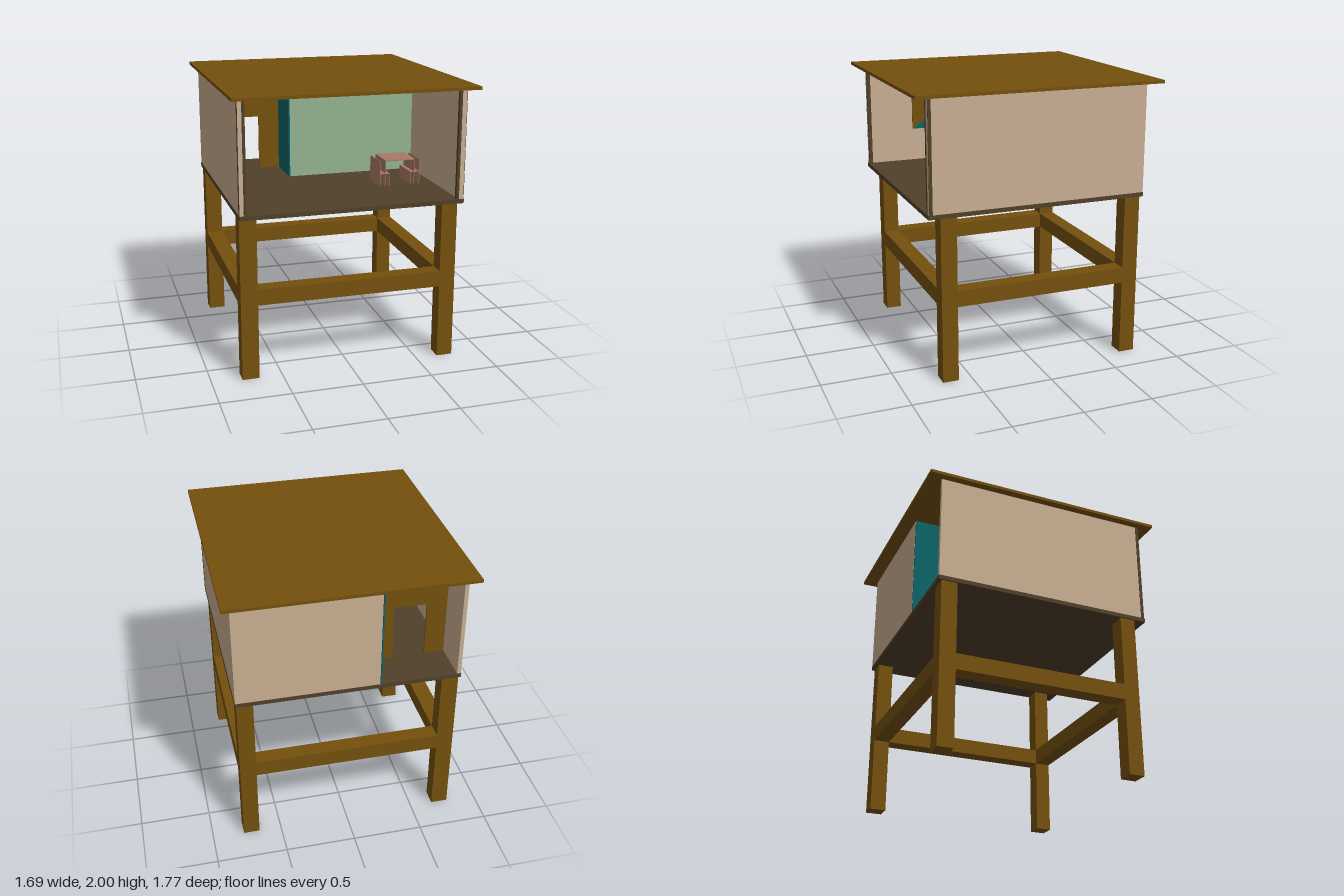
import * as THREE from 'three';

const mat = (name, color, extra = {}) => {
  const m = new THREE.MeshStandardMaterial({ color, ...extra });
  m.name = name;
  return m;
};

export function createModel() {
  const model = new THREE.Group();
  model.name = 'stiltHouse';
  const wood = mat('wood', 0x74500d);
  const beige = mat('beigeWall', 0xc9ae92);
  const dark = mat('darkTimber', 0x50402a);
  const green = mat('greenWall', 0x92b38f);
  const teal = mat('tealWall', 0x0c6468);
  const rose = mat('roseFabric', 0xa87a66);

  // Box given by its extents on each axis
  function box(name, material, [x0, x1], [y0, y1], [z0, z1], parent = model) {
    const mesh = new THREE.Mesh(new THREE.BoxGeometry(x1 - x0, y1 - y0, z1 - z0), material);
    mesh.position.set((x0 + x1) / 2, (y0 + y1) / 2, (z0 + z1) / 2);
    mesh.name = name;
    parent.add(mesh);
    return mesh;
  }

  // Legs and the rails between them
  const legX = [[-0.785, -0.665], [0.66, 0.775]];
  const legZ = [[-0.765, -0.65], [0.597, 0.71]];
  const railY = [0.54, 0.655];
  for (const x of legX) for (const z of legZ) box('leg', wood, x, [0, 1.176], z);
  for (const z of legZ) box('crossRail', wood, [-0.665, 0.66], railY, z);
  for (const x of legX) box('sideRail', wood, x, railY, [-0.65, 0.597]);

  // Floor and roof
  box('floor', dark, [-0.795, 0.785], [1.175, 1.205], [-0.787, 0.795]);
  box('roof', wood, [-0.845, 0.845], [1.978, 2], [-0.885, 0.885]);

  // Outer walls; the front is open and the back leaves a porch at one corner
  const wallY = [1.205, 1.978];
  box('sideWall', beige, [-0.793, -0.765], wallY, [-0.785, 0.788]);
  box('sideWall', beige, [0.75, 0.783], wallY, [-0.785, 0.788]);
  box('backWall', beige, [-0.215, 0.75], wallY, [-0.785, -0.765]);

  // Dark trim around the front opening and on the outer front edges
  box('frontPost', dark, [-0.765, -0.745], wallY, [0.765, 0.79]);
  box('frontPost', dark, [0.73, 0.75], wallY, [0.765, 0.79]);
  box('frontLintel', dark, [-0.745, 0.73], [1.966, 1.978], [0.765, 0.79]);
  box('edgeTrim', dark, [-0.796, -0.793], wallY, [0.765, 0.788]);
  box('edgeTrim', dark, [0.783, 0.786], wallY, [0.765, 0.788]);

  // Inner room walls
  box('roomFrontWall', green, [-0.218, 0.75], wallY, [-0.165, -0.147]);
  box('roomSideWall', teal, [-0.228, -0.218], wallY, [-0.785, -0.147]);

  // Porch wall with a doorway
  const wall = new THREE.Shape([[-0.765, 1.205], [-0.62, 1.205], [-0.62, 1.612], [-0.385, 1.612],
    [-0.385, 1.205], [-0.228, 1.205], [-0.228, 1.978], [-0.765, 1.978]].map(p => new THREE.Vector2(...p)));
  const porchWall = new THREE.Mesh(
    new THREE.ExtrudeGeometry(wall, { depth: 0.012, bevelEnabled: false }), wood);
  porchWall.position.z = -0.49;
  porchWall.name = 'porchWall';
  model.add(porchWall);

  // Two-tone panel on the inside of the side wall
  function panelHalf(name, material, corners) {
    const shape = new THREE.Shape(corners.map(([z, y]) => new THREE.Vector2(-z, y)));
    const mesh = new THREE.Mesh(
      new THREE.ExtrudeGeometry(shape, { depth: 0.005, bevelEnabled: false }), material);
    mesh.rotation.y = Math.PI / 2;
    mesh.position.x = -0.765;
    mesh.name = name;
    model.add(mesh);
  }
  panelHalf('panelLower', teal, [[0.43, 1.455], [0.03, 1.455], [0.03, 1.73]]);
  panelHalf('panelUpper', wood, [[0.43, 1.455], [0.03, 1.73], [0.43, 1.73]]);

  // Armchair of thin sheets, open towards the front
  const chair = new THREE.Group();
  chair.name = 'armchair';
  model.add(chair);
  const t = 0.004, cz = [0.1, 0.32];
  for (const s of [-1, 1]) {
    const sheet = (name, a, b, y) => box(name, rose,
      [0.4875 + Math.min(s * a, s * b), 0.4875 + Math.max(s * a, s * b)], y, cz, chair);
    sheet('chairSide', 0.153 - t, 0.153, [1.205, 1.39]);
    sheet('chairBackSide', 0.113 - t, 0.113, [1.205, 1.395]);
    sheet('armInner', 0.08, 0.08 + t, [1.205, 1.3]);
    sheet('armTop', 0.08, 0.153, [1.3 - t, 1.3]);
  }
  box('chairTop', rose, [0.3745, 0.6005], [1.388, 1.396], cz, chair);

  return model;
}
